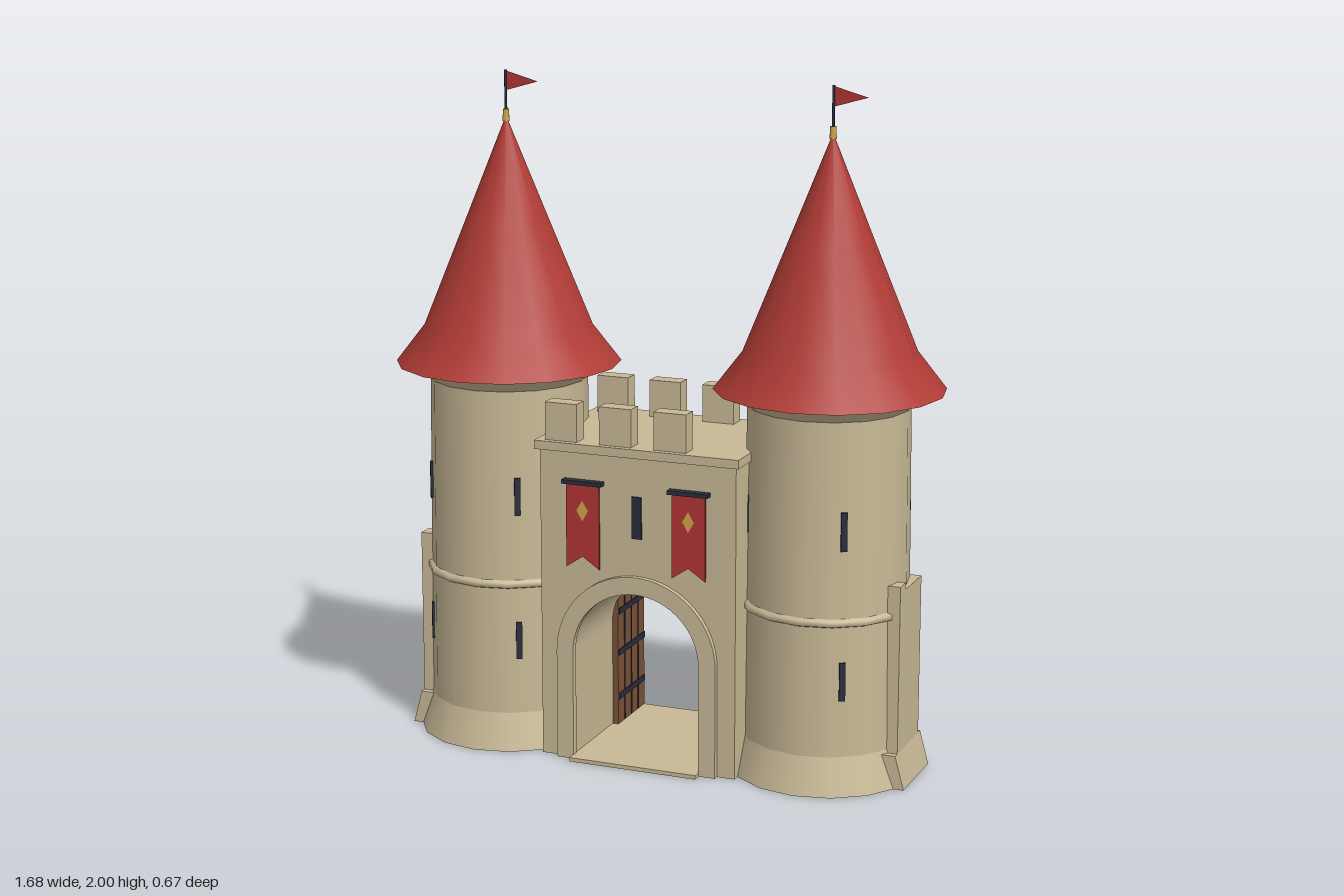
import * as THREE from 'three';

const mat = (name, color, side = THREE.FrontSide) => {
  const m = new THREE.MeshStandardMaterial({ color, side });
  m.name = name;
  return m;
};

export function createModel() {
  const stone = mat('stone', 0xc8b996, THREE.DoubleSide);
  const roofRed = mat('roof red', 0xb23c36, THREE.DoubleSide);
  const bannerRed = mat('banner red', 0xb03434, THREE.DoubleSide);
  const wood = mat('wood', 0x7a5238);
  const iron = mat('iron', 0x2a2d3c);
  const gold = mat('gold', 0xcfa648, THREE.DoubleSide);

  const model = new THREE.Group();
  model.name = 'castleGate';

  const add = (parent, name, geo, material, x = 0, y = 0, z = 0) => {
    const mesh = new THREE.Mesh(geo, material);
    mesh.name = name;
    mesh.position.set(x, y, z);
    parent.add(mesh);
    return mesh;
  };
  const box = (parent, name, m, w, h, d, x, y, z) =>
    add(parent, name, new THREE.BoxGeometry(w, h, d), m, x, y, z);
  const polygon = (pts) => new THREE.Shape(pts.map((p) => new THREE.Vector2(...p)));
  const extrude = (shape, depth) =>
    new THREE.ExtrudeGeometry(shape, { depth, bevelEnabled: false, curveSegments: 16 });
  const lathe = (parent, name, m, pts) =>
    add(parent, name, new THREE.LatheGeometry(pts.map((p) => new THREE.Vector2(...p)), 16), m);

  // Solid arched panel: straight sides up to spring, then a half circle
  const archPanel = (r, y0, spring) => {
    const s = new THREE.Shape();
    s.moveTo(-r, y0);
    s.lineTo(r, y0);
    s.lineTo(r, spring);
    s.absarc(0, spring, r, 0, Math.PI, false);
    s.lineTo(-r, y0);
    return s;
  };
  // Arched band, open at the bottom
  const archBand = (outer, inner, y0, spring) => {
    const s = new THREE.Shape();
    s.moveTo(inner, y0);
    s.lineTo(outer, y0);
    s.lineTo(outer, spring);
    s.absarc(0, spring, outer, 0, Math.PI, false);
    s.lineTo(-outer, y0);
    s.lineTo(-inner, y0);
    s.lineTo(-inner, spring);
    s.absarc(0, spring, inner, Math.PI, 0, true);
    s.lineTo(inner, y0);
    return s;
  };

  // Towers
  for (const side of [-1, 1]) {
    const tower = new THREE.Group();
    tower.name = side > 0 ? 'leftTower' : 'rightTower';
    tower.position.x = side * 0.505;
    model.add(tower);

    lathe(tower, 'towerFoot', stone, [[0.28, 0], [0.245, 0.11]]);
    lathe(tower, 'towerFloor', stone, [[0, 0.1], [0.246, 0.1]]);
    lathe(tower, 'towerWall', stone, [[0.245, 0.11], [0.241, 0.5], [0.235, 1.09]]);
    lathe(tower, 'stringCourse', stone, [[0.24, 0.495], [0.252, 0.5], [0.252, 0.515], [0.238, 0.522]]);
    lathe(tower, 'collar', stone, [[0.235, 1.09], [0.272, 1.136]]);
    lathe(tower, 'eaves', roofRed, [[0.2, 1.135], [0.335, 1.135]]);
    lathe(tower, 'roof', roofRed, [[0.335, 1.135], [0.25, 1.245], [0.125, 1.555], [0.003, 1.86]]);

    // Finial, pole and pennant
    add(tower, 'finial', new THREE.CylinderGeometry(0.009, 0.011, 0.035, 8), gold, 0, 1.868, 0);
    add(tower, 'flagPole', new THREE.CylinderGeometry(0.004, 0.004, 0.13, 6), iron, 0, 1.935, 0);
    add(tower, 'pennant', new THREE.ShapeGeometry(polygon([[0, 1.94], [0.103, 1.97], [0, 1.998]])), bannerRed);

    // Arrow slits around the wall in two rows
    for (let k = 0; k < 4; k++) {
      const a = Math.PI / 6 + (k * Math.PI) / 2;
      for (const [y, r] of [[0.335, 0.24], [0.775, 0.237]]) {
        const slit = box(tower, 'arrowSlit', iron, 0.018, 0.113, 0.009,
          Math.sin(a) * r, y, Math.cos(a) * r);
        slit.rotation.y = a;
      }
    }

    // Arched window at the back
    const win = new THREE.Group();
    win.name = 'backWindow';
    win.rotation.y = Math.PI;
    win.position.z = -0.225;
    tower.add(win);
    add(win, 'windowFrame', extrude(archBand(0.085, 0.06, 0.1, 0.305), 0.032), stone);
    add(win, 'windowShutter', extrude(archPanel(0.061, 0.105, 0.305), 0.022), wood);
    for (const y of [0.17, 0.28]) box(win, 'windowStrap', iron, 0.115, 0.012, 0.006, 0, y, 0.024);
    for (const x of [-0.022, 0.022]) box(win, 'windowBar', iron, 0.007, 0.22, 0.006, x, 0.235, 0.023);

    // Outer buttress with a splayed foot
    box(tower, 'buttress', stone, 0.06, 0.58, 0.2, side * 0.224, 0.29, 0);
    box(tower, 'buttressStep', stone, 0.06, 0.02, 0.05, side * 0.224, 0.59, 0.075);
    const foot = polygon([[0.2, 0], [0.281, 0], [0.254, 0.1], [0.2, 0.1]].map(([x, y]) => [side * x, y]));
    add(tower, 'buttressFoot', extrude(foot, 0.24), stone, 0, 0, -0.12);
  }

  // Gatehouse wall with the arched passage
  const gate = new THREE.Group();
  gate.name = 'gatehouse';
  model.add(gate);
  const wall = new THREE.Shape();
  wall.moveTo(0.2, 0);
  wall.lineTo(0.305, 0);
  wall.lineTo(0.305, 0.935);
  wall.lineTo(-0.305, 0.935);
  wall.lineTo(-0.305, 0);
  wall.lineTo(-0.2, 0);
  wall.lineTo(-0.2, 0.33);
  wall.absarc(0, 0.33, 0.2, Math.PI, 0, true);
  wall.lineTo(0.2, 0);
  add(gate, 'gateWall', extrude(wall, 0.44), stone, 0, 0, -0.22);
  box(gate, 'cornice', stone, 0.635, 0.026, 0.47, 0, 0.947, 0);
  box(gate, 'passageFloor', stone, 0.4, 0.012, 0.528, 0, 0.006, 0);
  for (const z of [0.215, -0.237])
    add(gate, 'archTrim', extrude(archBand(0.25, 0.198, 0, 0.33), 0.022), stone, 0, 0, z);
  box(gate, 'portcullisBar', iron, 0.19, 0.02, 0.03, 0, 0.522, 0);

  // Merlons, front and back
  for (const z of [-0.19, 0.19])
    for (const x of [-0.24, -0.07, 0.1])
      box(gate, 'merlon', stone, 0.1, 0.115, 0.052, x, 1.015, z);

  // Open doors, swung back along the passage
  for (const side of [-1, 1]) {
    const door = new THREE.Group();
    door.name = side > 0 ? 'leftDoor' : 'rightDoor';
    model.add(door);
    const leaf = polygon([[0.06, 0.012], [0.265, 0.012], [0.265, 0.46], [0.2, 0.455], [0.13, 0.44], [0.06, 0.405]]);
    const mesh = add(door, 'doorLeaf', extrude(leaf, 0.018), wood, side * 0.19 - 0.009, 0, 0);
    mesh.rotation.y = Math.PI / 2;
    for (const y of [0.1, 0.24, 0.37])
      box(door, 'doorStrap', iron, 0.006, 0.018, 0.2, side * 0.18, y, -0.162);
    for (const z of [-0.11, -0.162, -0.214])
      box(door, 'doorBar', iron, 0.004, 0.4, 0.005, side * 0.181, 0.215, z);
  }

  // Central slit and hanging banners
  box(gate, 'gateSlit', iron, 0.03, 0.125, 0.009, 0, 0.755, 0.221);
  for (const x of [-0.165, 0.165]) {
    const banner = new THREE.Group();
    banner.name = 'banner';
    banner.position.set(x, 0, 0.229);
    model.add(banner);
    const cloth = polygon([[-0.052, 0.845], [-0.052, 0.59], [0, 0.625], [0.052, 0.59], [0.052, 0.845]]);
    add(banner, 'bannerCloth', extrude(cloth, 0.006), bannerRed);
    const diamond = polygon([[0, 0.732], [0.018, 0.763], [0, 0.794], [-0.018, 0.763]]);
    add(banner, 'bannerDiamond', new THREE.ShapeGeometry(diamond), gold, 0, 0, 0.008);
    box(banner, 'bannerRod', iron, 0.125, 0.012, 0.026, 0, 0.847, 0.003);
  }

  return model;
}
